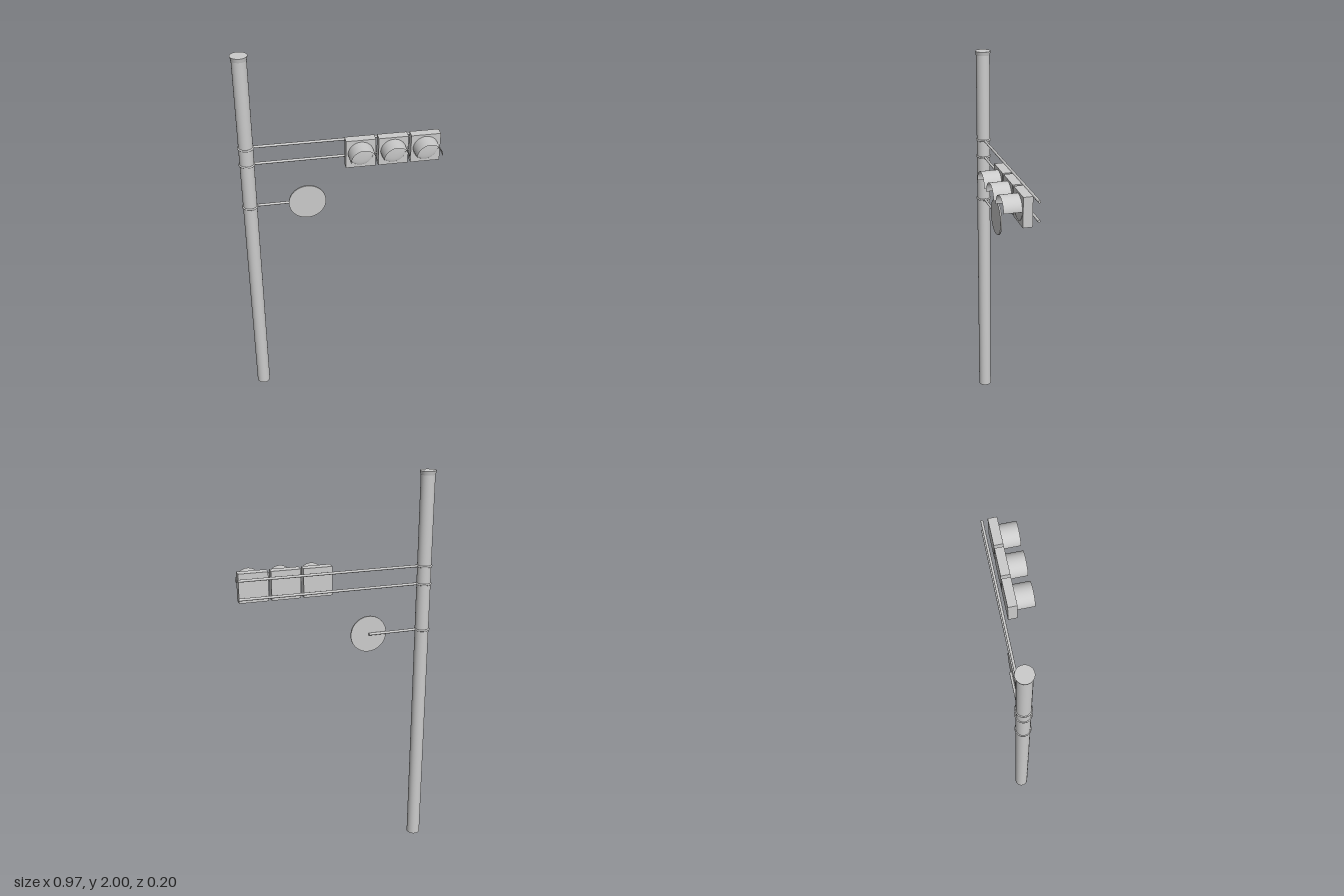
import * as THREE from 'three';

const grey = new THREE.MeshStandardMaterial({ color: 0xcccccc });
const greyThin = new THREE.MeshStandardMaterial({ color: 0xcccccc, side: THREE.DoubleSide });

const POLE_X = -0.448, POLE_Z = -0.06, POLE_R = 0.035;

function add(parent, name, geometry, x, y, z, material = grey) {
  const mesh = new THREE.Mesh(geometry, material);
  mesh.name = name;
  mesh.position.set(x, y, z);
  parent.add(mesh);
  return mesh;
}

// Horizontal tube from the pole to endX, with a ring clamp round the pole
function addArm(parent, name, y, endX) {
  const arm = new THREE.Group();
  arm.name = name;
  const length = endX - POLE_X;
  const rod = new THREE.CylinderGeometry(0.0065, 0.0065, length, 16).rotateZ(Math.PI / 2);
  add(arm, 'armTube', rod, POLE_X + length / 2, y, POLE_Z);
  const ring = new THREE.TorusGeometry(POLE_R, 0.005, 10, 40).rotateX(Math.PI / 2);
  add(arm, 'clampRing', ring, POLE_X, y, POLE_Z);
  parent.add(arm);
}

// One lamp: square housing, shallow domed lens and half-round visor
function createLamp() {
  const lamp = new THREE.Group();
  lamp.name = 'lamp';
  add(lamp, 'housing', new THREE.BoxGeometry(0.144, 0.144, 0.045), 0, 0, -0.0105);
  const dome = new THREE.SphereGeometry(0.06, 32, 8, 0, Math.PI * 2, 0, Math.PI / 2)
    .rotateX(Math.PI / 2).scale(1, 1, 0.14);
  add(lamp, 'lens', dome, 0, 0, 0.012);
  // Open half cylinder over the lens
  const visor = new THREE.CylinderGeometry(0.0625, 0.0625, 0.086, 32, 1, true, Math.PI / 2, Math.PI)
    .rotateX(Math.PI / 2);
  add(lamp, 'visor', visor, 0, 0, 0.055, greyThin);
  return lamp;
}

export function createModel() {
  const model = new THREE.Group();
  model.name = 'trafficSignal';

  // Pole with a slightly flared cap
  add(model, 'pole', new THREE.CylinderGeometry(POLE_R, POLE_R, 1.985, 40), POLE_X, 0.9925, POLE_Z);
  add(model, 'poleCap', new THREE.CylinderGeometry(0.04, 0.036, 0.02, 40), POLE_X, 1.99, POLE_Z);

  // Arms for the lamps and the sign
  addArm(model, 'upperArm', 1.538, 0.485);
  addArm(model, 'lowerArm', 1.447, 0.485);
  addArm(model, 'signArm', 1.207, -0.164);

  // Round sign in front of its arm
  const disc = new THREE.CylinderGeometry(0.093, 0.093, 0.008, 48).rotateX(Math.PI / 2);
  add(model, 'roundSign', disc, -0.164, 1.207, -0.051);

  // Row of three lamps
  for (let i = 0; i < 3; i++) {
    const lamp = createLamp();
    lamp.position.set(0.09 + i * 0.158, 1.492, 0);
    model.add(lamp);
  }
  return model;
}
